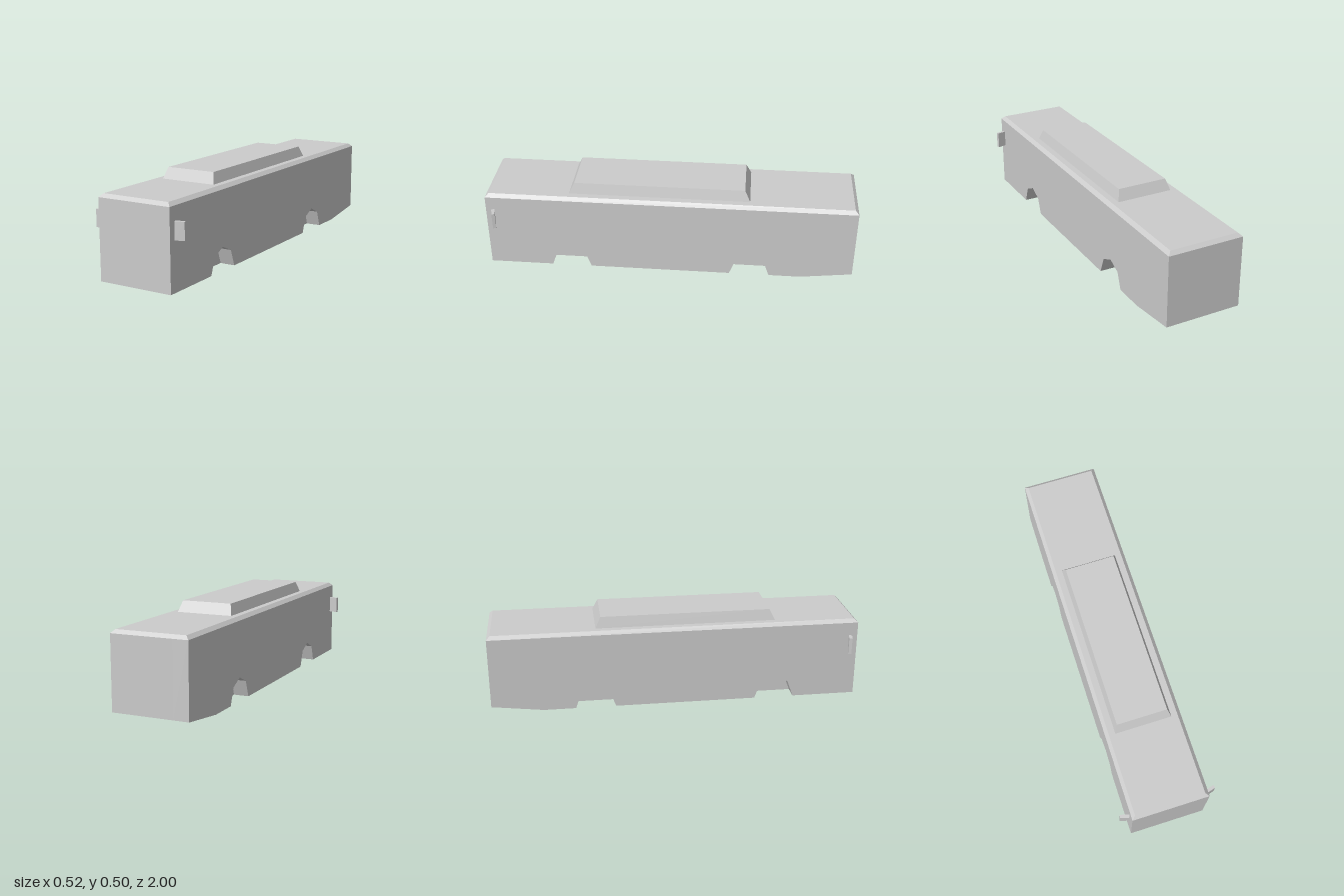
import * as THREE from 'three';

const material = new THREE.MeshStandardMaterial({ color: 0xcccccc, flatShading: true });
const HALF_WIDTH = 0.207;
const WELL_DEPTH = 0.083;
const BODY_TOP = 0.42;

function addMesh(parent, name, geometry) {
  const mesh = new THREE.Mesh(geometry, material);
  mesh.name = name;
  parent.add(mesh);
  return mesh;
}

// Side outline (z, y) with the raised tail; optional faceted wheel arches
function sideShape(wells) {
  const points = [[1, BODY_TOP], [-1, BODY_TOP], [-1, 0.035], [-0.72, 0]];
  for (const z of wells) {
    points.push([z - 0.109, 0], [z - 0.076, 0.09], [z, 0.125], [z + 0.076, 0.09], [z + 0.109, 0]);
  }
  points.push([1, 0]);
  return new THREE.Shape(points.map(([z, y]) => new THREE.Vector2(z, y)));
}

// Slab of the body between two x positions
function slab(x0, x1, wells) {
  const geometry = new THREE.ExtrudeGeometry(sideShape(wells), { depth: x1 - x0, bevelEnabled: false });
  return geometry.rotateY(-Math.PI / 2).translate(x1, 0, 0);
}

// Box whose top edges are drawn in on all four sides
function taperedBox(width, length, y0, y1, insetX, insetZ) {
  const geometry = new THREE.BoxGeometry(width, y1 - y0, length).toNonIndexed();
  const p = geometry.attributes.position;
  for (let i = 0; i < p.count; i++) {
    if (p.getY(i) > 0) {
      p.setX(i, p.getX(i) - Math.sign(p.getX(i)) * insetX);
      p.setZ(i, p.getZ(i) - Math.sign(p.getZ(i)) * insetZ);
    }
  }
  geometry.translate(0, (y0 + y1) / 2, 0);
  geometry.computeVertexNormals();
  return geometry;
}

export function createModel() {
  const bus = new THREE.Group();
  bus.name = 'bus';

  // Body: solid core and two sides cut by the wheel arches
  const body = new THREE.Group();
  body.name = 'body';
  bus.add(body);
  const inner = HALF_WIDTH - WELL_DEPTH;
  const wells = [-0.44, 0.545];
  addMesh(body, 'bodyCore', slab(-inner, inner, []));
  addMesh(body, 'leftSide', slab(inner, HALF_WIDTH, wells));
  addMesh(body, 'rightSide', slab(-HALF_WIDTH, -inner, wells));

  // Chamfered roof edge and raised roof unit
  addMesh(bus, 'roof', taperedBox(HALF_WIDTH * 2, 2, BODY_TOP, 0.438, 0.019, 0.019));
  const unit = addMesh(bus, 'roofUnit', taperedBox(0.308, 0.976, 0.437, 0.496, 0.017, 0.029));
  unit.position.z = 0.06;

  // Mirrors swept back at the front corners
  for (const side of [1, -1]) {
    const mirror = addMesh(bus, side > 0 ? 'leftMirror' : 'rightMirror', new THREE.BoxGeometry(0.05, 0.091, 0.017));
    mirror.position.set(side * 0.2335, 0.3025, 0.955);
    mirror.rotation.y = side * THREE.MathUtils.degToRad(15);
  }
  return bus;
}
